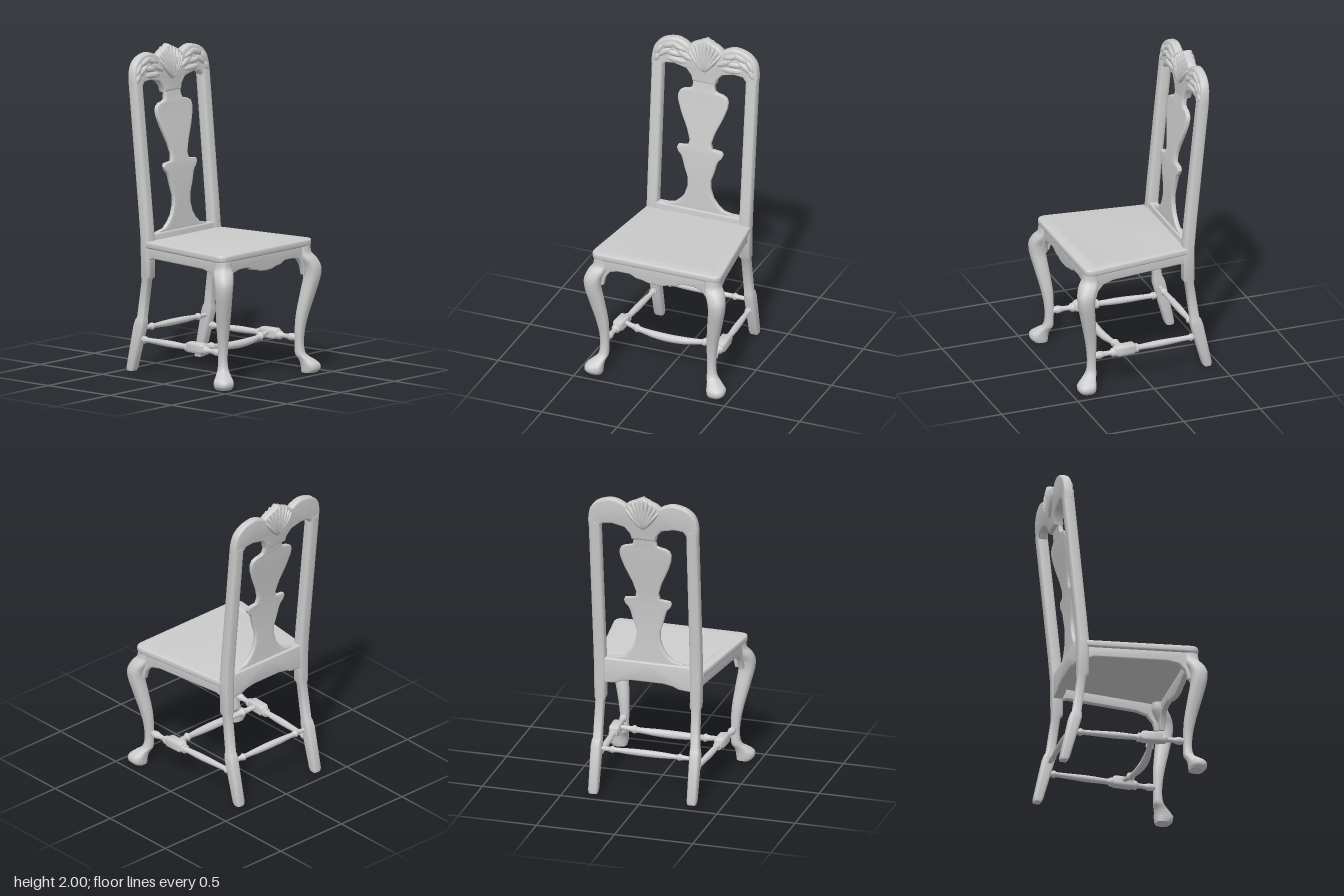
import * as THREE from 'three';
import { toCreasedNormals, mergeGeometries } from 'three/addons/utils/BufferGeometryUtils.js';

const wood = new THREE.MeshStandardMaterial({ color: 0xcccccc });
wood.name = 'pale grey wood';
const V2 = (p) => new THREE.Vector2(p[0], p[1]);

// Centre line of the raked back
const lean = (y) => -0.295 - 0.1 * (y - 0.83);

// Loft of rounded-square rings; rows are [y, x, z, halfX, halfZ]
function loft(rows, power = 5, sides = 24) {
  const pos = [], idx = [];
  const pw = (v) => Math.sign(v) * Math.abs(v) ** (2 / power);
  for (const [y, x, z, hx, hz] of rows) {
    for (let i = 0; i < sides; i++) {
      const a = ((i + 0.5) / sides) * Math.PI * 2;
      pos.push(x + hx * pw(Math.cos(a)), y, z + hz * pw(Math.sin(a)));
    }
  }
  for (let r = 0; r < rows.length - 1; r++) {
    for (let i = 0; i < sides; i++) {
      const a = r * sides + i, b = r * sides + ((i + 1) % sides);
      idx.push(a, a + sides, b, b, a + sides, b + sides);
    }
  }
  const top = (rows.length - 1) * sides;
  for (let i = 1; i < sides - 1; i++) idx.push(0, i, i + 1, top, top + i + 1, top + i);
  const g = new THREE.BufferGeometry();
  g.setAttribute('position', new THREE.Float32BufferAttribute(pos, 3));
  g.setIndex(idx);
  return g;
}

// Move every vertex by a rule
function warp(g, rule) {
  const p = g.attributes.position, v = new THREE.Vector3();
  for (let i = 0; i < p.count; i++) {
    rule(v.fromBufferAttribute(p, i));
    p.setXYZ(i, v.x, v.y, v.z);
  }
  return g;
}

// Extruded outline with softened edges, centred on its thickness
function slab(shape, depth, bevel = 0.008, curveSegments = 8) {
  const g = new THREE.ExtrudeGeometry(shape, {
    depth: depth - 2 * bevel, bevelEnabled: bevel > 0, bevelSize: bevel, bevelOffset: -bevel,
    bevelThickness: bevel, bevelSegments: 3, curveSegments,
  });
  return g.translate(0, 0, bevel - depth / 2);
}

// Turned bar along x; profile rows are [position, radius]
function turned(profile) {
  const pts = new THREE.SplineCurve(profile.map(([t, r]) => new THREE.Vector2(r, t))).getPoints(60);
  return new THREE.LatheGeometry(pts, 16).rotateZ(-Math.PI / 2);
}

// Carved swelling: a stretched ball turned in the plane of the back
const swell = (x, y, z, rx, ry, rz, turn = 0) =>
  new THREE.SphereGeometry(1, 16, 10).scale(rx, ry, rz).rotateZ(turn).translate(x, y, z);

const symmetric = (half) => [...half, ...half.slice().reverse().filter((p) => p[0] > 0).map(([x, y]) => [-x, y])];

export function createModel() {
  const chair = new THREE.Group();
  chair.name = 'chair';
  const add = (name, g) => {
    const mesh = new THREE.Mesh(toCreasedNormals(g, 0.7), wood);
    mesh.name = name;
    chair.add(mesh);
  };
  // Add a left part and its mirror image
  const addPair = (name, g) => {
    add('left' + name, g);
    const m = g.index ? g.toNonIndexed() : g.clone();
    m.scale(-1, 1, 1);
    const p = m.attributes.position, a = new THREE.Vector3(), b = new THREE.Vector3();
    for (let i = 0; i < p.count; i += 3) {
      a.fromBufferAttribute(p, i + 1);
      b.fromBufferAttribute(p, i + 2);
      p.setXYZ(i + 1, b.x, b.y, b.z);
      p.setXYZ(i + 2, a.x, a.y, a.z);
    }
    add('right' + name, m);
  };

  // Seat frame with a tapering opening
  const seat = new THREE.Shape();
  seat.moveTo(-0.345, 0.28).lineTo(-0.425, -0.35);
  seat.quadraticCurveTo(-0.432, -0.415, -0.37, -0.415).lineTo(0.37, -0.415);
  seat.quadraticCurveTo(0.432, -0.415, 0.425, -0.35).lineTo(0.345, 0.28);
  const opening = [[-0.275, 0.258], [0.275, 0.258], [0.325, -0.318], [-0.325, -0.318]].map(V2);
  seat.holes.push(new THREE.Path(opening).closePath());
  add('seatFrame', slab(seat, 0.044, 0.012).rotateX(-Math.PI / 2).translate(0, 0.808, 0));

  // Cane panel with small irregular holes
  let seed = 7;
  const rand = () => (seed = (seed * 16807) % 2147483647) / 2147483647;
  const halfWidth = (z) => 0.297 + 0.087 * z;
  const cane = new THREE.Shape([[-0.285, 0.27], [0.285, 0.27], [0.332, -0.325], [-0.332, -0.325]].map(V2));
  const strands = [];
  const strand = (w, d, x, z, turn) =>
    strands.push(new THREE.BoxGeometry(w, 0.006, d).rotateY(turn).translate(x, 0.816, z));
  for (let j = 0; j < 15; j++) {
    const z = -0.238 + j * 0.0385;
    strand(2 * halfWidth(z) - 0.01, 0.014, 0, z + 0.019, 0);
    for (let i = 0; i < 15; i++) {
      const x = (i / 7 - 1) * 0.93 * halfWidth(z), r = 0.003 + 0.007 * rand();
      if (rand() < 0.25) continue;
      const hole = new THREE.Path();
      hole.absarc(x + 0.004 * rand(), -z, r, 0, Math.PI * 2, true);
      cane.holes.push(hole);
    }
  }
  for (let i = 0; i < 14; i++) {
    const u = ((i + 0.5) / 7 - 1) * 0.93;
    strand(0.012, 0.57, u * halfWidth(0.03), 0.03, Math.atan(0.087 * u));
  }
  add('canePanel', slab(cane, 0.014, 0, 3).rotateX(-Math.PI / 2).translate(0, 0.81, 0));
  add('caneStrands', mergeGeometries(strands));

  // Scalloped front apron with knee brackets
  const frontEdge = [[0, 0.685], [0.05, 0.688], [0.09, 0.7], [0.13, 0.704], [0.17, 0.725], [0.25, 0.725],
    [0.3, 0.712], [0.333, 0.67], [0.347, 0.61], [0.37, 0.61], [0.395, 0.7], [0.395, 0.795]];
  add('frontApron', slab(new THREE.Shape(symmetric(frontEdge).map(V2)), 0.035).translate(0, 0, 0.383));

  // Side aprons following the taper of the seat
  const sideEdge = [[-0.28, 0.795], [-0.28, 0.715], [-0.255, 0.715], [-0.23, 0.725], [0.22, 0.725], [0.29, 0.71],
    [0.328, 0.67], [0.345, 0.61], [0.37, 0.61], [0.385, 0.7], [0.385, 0.795]];
  addPair('SideApron', warp(slab(new THREE.Shape(sideEdge.map(V2)), 0.035).rotateY(-Math.PI / 2),
    (v) => { v.x += 0.347 + 0.125 * v.z; }));

  // Rear rail below the splat
  const rearEdge = [[0, 0.74], [0.1, 0.74], [0.16, 0.73], [0.2, 0.712], [0.29, 0.705], [0.29, 0.868], [0, 0.868]];
  add('rearRail', slab(new THREE.Shape(symmetric(rearEdge).map(V2)), 0.058).translate(0, 0, -0.297));

  // Cabriole front legs; rows are [height, diagonal centre, radius]
  const legLine = [[0, 0.397, 0.044], [0.02, 0.404, 0.055], [0.05, 0.402, 0.056], [0.08, 0.385, 0.044],
    [0.11, 0.362, 0.033], [0.16, 0.355, 0.027], [0.25, 0.356, 0.029], [0.35, 0.366, 0.036], [0.5, 0.393, 0.045],
    [0.6, 0.41, 0.05], [0.66, 0.408, 0.054], [0.71, 0.388, 0.056], [0.745, 0.37, 0.05], [0.792, 0.366, 0.048]];
  const legRows = new THREE.CatmullRomCurve3(legLine.map((p) => new THREE.Vector3(...p))).getPoints(60);
  addPair('FrontLeg', loft(legRows.map((p) => [Math.max(p.x, 0), p.y, p.y, p.z, p.z]), 2.6));
  const claws = [-0.35, 0.785, 1.92].map((a) =>
    swell(0, 0, 0, 0.035, 0.012, 0.011, -0.6).rotateY(-a)
      .translate(0.398 + 0.036 * Math.cos(a), 0.062, 0.398 + 0.036 * Math.sin(a)));
  addPair('FrontClaws', mergeGeometries(claws));

  // Back posts running from foot to crest
  addPair('BackPost', loft([
    [0.01, 0.315, -0.418, 0.027, 0.024], [0.03, 0.315, -0.414, 0.031, 0.031], [0.3, 0.315, -0.348, 0.033, 0.04],
    [0.335, 0.313, -0.341, 0.031, 0.034], [0.35, 0.311, -0.336, 0.028, 0.028], [0.585, 0.306, -0.304, 0.028, 0.027],
    [0.605, 0.305, -0.297, 0.036, 0.036], [0.83, 0.307, -0.297, 0.037, 0.037], [1.0, 0.308, -0.312, 0.037, 0.036],
    [1.8, 0.312, lean(1.8), 0.037, 0.035]], 4));

  // Vase splat; rows are [height, half width, depth position]
  const splatLine = [[0.85, 0.24, -0.295], [0.875, 0.22, -0.294], [0.885, 0.165, -0.294], [0.92, 0.125, -0.294],
    [0.96, 0.095, -0.294], [1.02, 0.076, -0.295], [1.08, 0.076, -0.296], [1.14, 0.097, -0.298], [1.2, 0.113, -0.302],
    [1.225, 0.125, -0.304], [1.24, 0.142, -0.305], [1.265, 0.152, -0.307], [1.283, 0.145, -0.309],
    [1.29, 0.08, -0.31], [1.33, 0.07, -0.315], [1.4, 0.092, -0.325], [1.5, 0.138, -0.341], [1.57, 0.162, -0.352],
    [1.61, 0.165, -0.358], [1.635, 0.155, -0.361], [1.65, 0.13, -0.363], [1.655, 0.1, -0.364],
    [1.665, 0.078, -0.366], [1.7, 0.07, -0.371], [1.76, 0.08, -0.38]];
  add('splat', loft(splatLine.map(([y, w, z]) => [y, 0, z, w, 0.015]), 9));

  // Crest rail with two lobes and a centre peak
  const upper = [[0.35, 1.77], [0.35, 1.83], [0.333, 1.9], [0.28, 1.95], [0.2, 1.97], [0.145, 1.957], [0.11, 1.937]];
  const peak = [[0.11, 1.937], [0.085, 1.957], [0.045, 1.975], [0, 1.998]];
  const under = [[0, 1.71], [0.076, 1.71], [0.085, 1.745], [0.12, 1.785], [0.2, 1.803], [0.255, 1.797], [0.275, 1.77]];
  const curve = (pts) => new THREE.SplineCurve(pts.map(V2)).getPoints(24).map((p) => [p.x, p.y]);
  const half = [...under, ...curve(upper), ...curve(peak).slice(1)].map(([x, y]) => [x < 0.001 ? 0 : x, y]);
  add('crestRail', warp(slab(new THREE.Shape(symmetric(half).map(V2)), 0.06, 0.014),
    (v) => { v.z = lean(v.y) + v.z * (1 - 0.6 * Math.max(0, v.y - 1.8)); }));

  // Ribbed shell on both faces of the crest
  const ribs = [];
  for (let i = -4; i <= 4; i++) {
    const a = i * 0.17, len = 0.105 - 0.005 * Math.abs(i);
    for (const face of [1, -1]) {
      ribs.push(swell(Math.sin(a) * len, 1.785 + Math.cos(a) * len, 0, 0.015, len, 0.025, -a)
        .translate(0, 0, face * 0.024));
    }
  }
  add('crestShell', warp(mergeGeometries(ribs), (v) => { v.z += lean(v.y); v.y = Math.min(v.y, 2); }));

  // Leaf carving along the front of each lobe
  const leaves = [[0.13, 1.87, 0.06, 0.5], [0.17, 1.915, 0.05, 0.35], [0.2, 1.87, 0.06, 0.1], [0.235, 1.92, 0.05, -0.4],
    [0.27, 1.865, 0.055, -0.6], [0.305, 1.875, 0.045, -1.0], [0.315, 1.825, 0.035, -1.1], [0.18, 1.83, 0.07, 0.05]];
  addPair('LeafCarving', mergeGeometries(leaves.map(([x, y, r, turn]) =>
    swell(x, y, lean(y) + 0.026, r, 0.019, 0.014, turn))));

  // Side stretchers with a square block near the front
  const sideBar = turned([[-0.34, 0.014], [-0.31, 0.024], [-0.285, 0.016], [-0.1, 0.021], [0.03, 0.018], [0.045, 0.028],
    [0.07, 0.028], [0.19, 0.028], [0.215, 0.027], [0.23, 0.016], [0.27, 0.017], [0.3, 0.024], [0.35, 0.015]]);
  const splay = (v) => { v.x += 0.332 + 0.05 * v.z; };
  addPair('SideStretcher', warp(sideBar.rotateY(-Math.PI / 2).translate(0, 0.213, 0), splay));
  const block = loft([[0.06, 0, 0, 0.024, 0.022], [0.075, 0, 0, 0.033, 0.033], [0.18, 0, 0, 0.033, 0.033],
    [0.2, 0, 0, 0.024, 0.022]], 5).rotateX(Math.PI / 2).translate(0, 0.22, 0);
  addPair('StretcherBlock', warp(block, splay));

  // Bowed middle stretcher and straight rear stretcher
  const ends = [[0.32, 0.014], [0.25, 0.018], [0.225, 0.027], [0.2, 0.018], [0.1, 0.023], [0, 0.025]];
  const bar = [...ends.map(([x, r]) => [-x, r]), ...ends.slice(0, -1).reverse()];
  add('middleStretcher', warp(turned(bar), (v) => {
    const bow = 1 - (v.x / 0.32) ** 2;
    v.y += 0.228 - 0.028 * bow;
    v.z += 0.13 + 0.04 * bow;
  }));
  add('rearStretcher', turned(bar).scale(0.95, 0.85, 0.85).translate(0, 0.278, -0.345));
  return chair;
}
